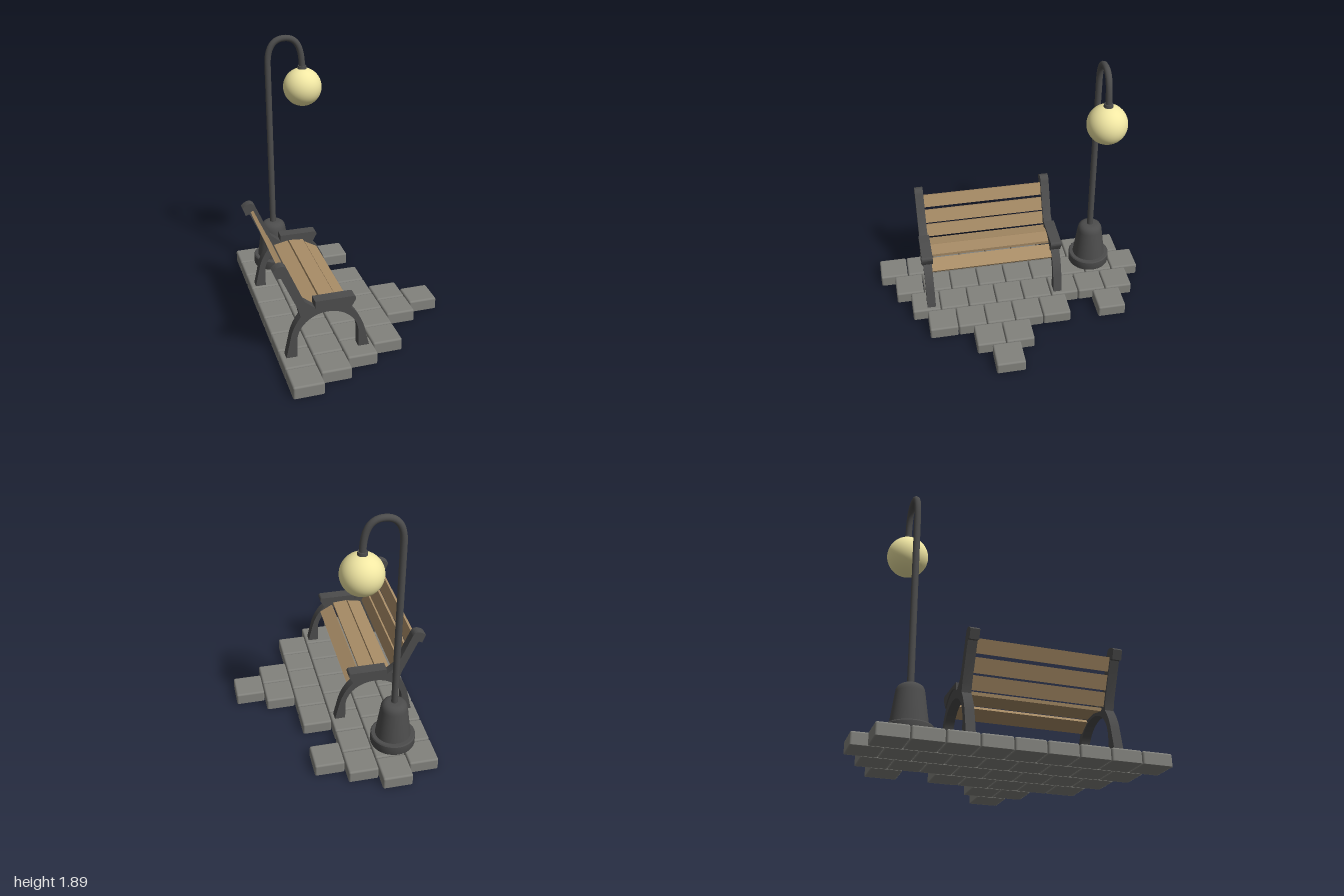
import * as THREE from 'three';
import { toCreasedNormals } from 'three/addons/utils/BufferGeometryUtils.js';
import { RoundedBoxGeometry } from 'three/addons/geometries/RoundedBoxGeometry.js';

const iron = new THREE.MeshStandardMaterial({ color: 0x4c4c4c });
const wood = new THREE.MeshStandardMaterial({ color: 0xa88c66 });
const glass = new THREE.MeshStandardMaterial({ color: 0xf2e8a4 });
const stone = new THREE.MeshStandardMaterial({ color: 0x82827d });

function add(parent, name, geometry, material, x = 0, y = 0, z = 0) {
  const mesh = new THREE.Mesh(geometry, material);
  mesh.name = name;
  mesh.position.set(x, y, z);
  parent.add(mesh);
  return mesh;
}

// Side profile extruded along z, centred on z = 0
function slab(shape, width) {
  const geo = new THREE.ExtrudeGeometry(shape, { depth: width, bevelEnabled: false, curveSegments: 20 });
  geo.translate(0, 0, -width / 2);
  return toCreasedNormals(geo, 0.5);
}

function createPaving() {
  const paving = new THREE.Group();
  paving.name = 'paving';
  const height = 0.085, step = 0.2113;
  // Block with softened top and sides and a flat underside
  const geo = new RoundedBoxGeometry(0.207, height * 2, 0.207, 2, 0.014);
  const pos = geo.attributes.position;
  for (let i = 0; i < pos.count; i++) pos.setY(i, Math.max(0, pos.getY(i)));
  // Each column of blocks as [first, last] runs, in half steps along z
  const columns = [[[1, 17]], [[0, 16]], [[1, 15]], [[2, 2], [6, 14]], [[9, 11]], [[10, 10]]];
  columns.forEach((runs, c) => {
    for (const [first, last] of runs) {
      for (let k = first; k <= last; k += 2) {
        add(paving, 'pavingStone', geo, stone, -0.512 + c * step, 0, -0.896 + k * step / 2);
      }
    }
  });
  return paving;
}

function createBench() {
  const bench = new THREE.Group();
  bench.name = 'bench';
  bench.position.z = 0.167;

  // Arched legs running up into the raked back post
  const frame = new THREE.Shape();
  frame.moveTo(-0.58, 0.085);
  frame.lineTo(-0.505, 0.085);
  frame.lineTo(-0.505, 0.2);
  frame.absellipse(-0.296, 0.2, 0.209, 0.192, Math.PI, 0, true);
  frame.lineTo(-0.087, 0.085);
  frame.lineTo(-0.012, 0.085);
  frame.lineTo(-0.042, 0.215);
  frame.bezierCurveTo(-0.075, 0.36, -0.18, 0.46, -0.29, 0.46);
  frame.quadraticCurveTo(-0.34, 0.46, -0.38, 0.432);
  frame.lineTo(-0.452, 0.49);
  frame.lineTo(-0.556, 0.735);
  frame.quadraticCurveTo(-0.57, 0.77, -0.6, 0.768);
  frame.quadraticCurveTo(-0.63, 0.762, -0.653, 0.737);
  frame.lineTo(-0.63, 0.675);
  frame.quadraticCurveTo(-0.612, 0.692, -0.6, 0.682);
  frame.lineTo(-0.495, 0.44);
  frame.lineTo(-0.48, 0.38);
  frame.quadraticCurveTo(-0.53, 0.31, -0.545, 0.245);
  const frameGeo = slab(frame, 0.063);

  // Armrest resting on the arch
  const arm = new THREE.Shape();
  arm.moveTo(-0.382, 0.432);
  arm.quadraticCurveTo(-0.335, 0.462, -0.285, 0.46);
  arm.quadraticCurveTo(-0.205, 0.455, -0.145, 0.392);
  arm.lineTo(-0.108, 0.458);
  arm.quadraticCurveTo(-0.106, 0.483, -0.125, 0.483);
  arm.lineTo(-0.382, 0.483);
  const armGeo = slab(arm, 0.08);

  for (const side of [-1, 1]) {
    add(bench, 'benchFrame', frameGeo, iron, 0, 0, side * 0.483);
    add(bench, 'armrest', armGeo, iron, 0, 0, side * 0.483);
  }

  // Slats: x, y, tilt, width
  const rake = -1.16;
  const slats = [
    ['backSlat', -0.567, 0.665, rake, 0.094],
    ['backSlat', -0.519, 0.555, rake, 0.1],
    ['backSlat', -0.473, 0.455, rake, 0.094],
    ['seatSlat', -0.378, 0.412, 0.2, 0.106],
    ['seatSlat', -0.266, 0.421, -0.08, 0.108],
    ['seatSlat', -0.159, 0.372, -0.52, 0.106],
  ];
  for (const [name, x, y, tilt, width] of slats) {
    add(bench, name, new THREE.BoxGeometry(width, 0.022, 0.93), wood, x, y).rotation.z = tilt;
  }
  return bench;
}

function createLamp() {
  const lamp = new THREE.Group();
  lamp.name = 'streetLamp';
  lamp.position.set(-0.357, 0, -0.64);

  // Round plinth and tapering domed foot
  const foot = [[0, 0.085], [0.154, 0.085], [0.156, 0.09], [0.156, 0.152], [0.15, 0.16], [0.124, 0.16],
    [0.094, 0.38], [0.09, 0.402], [0.08, 0.42], [0.064, 0.432], [0.045, 0.436], [0, 0.436]]
    .map(([r, y]) => new THREE.Vector2(r, y));
  add(lamp, 'lampBase', toCreasedNormals(new THREE.LatheGeometry(foot, 40), 0.6), iron);

  // Pole bending over into a hook
  const v = (x, y) => new THREE.Vector3(x, y, 0);
  const path = new THREE.CurvePath();
  path.add(new THREE.LineCurve3(v(0, 0.42), v(0, 1.68)));
  path.add(new THREE.CubicBezierCurve3(v(0, 1.68), v(0, 1.8), v(0.04, 1.868), v(0.13, 1.868)));
  path.add(new THREE.CubicBezierCurve3(v(0.13, 1.868), v(0.22, 1.868), v(0.255, 1.79), v(0.255, 1.64)));
  add(lamp, 'lampPole', new THREE.TubeGeometry(path, 90, 0.023, 16), iron);

  // Collar and globe
  add(lamp, 'lampCollar', new THREE.CylinderGeometry(0.031, 0.034, 0.024, 24), iron, 0.255, 1.644);
  add(lamp, 'lampGlobe', new THREE.SphereGeometry(0.142, 40, 28), glass, 0.255, 1.496);
  return lamp;
}

export function createModel() {
  const model = new THREE.Group();
  model.name = 'parkBenchAndLamp';
  model.add(createPaving(), createBench(), createLamp());
  return model;
}
